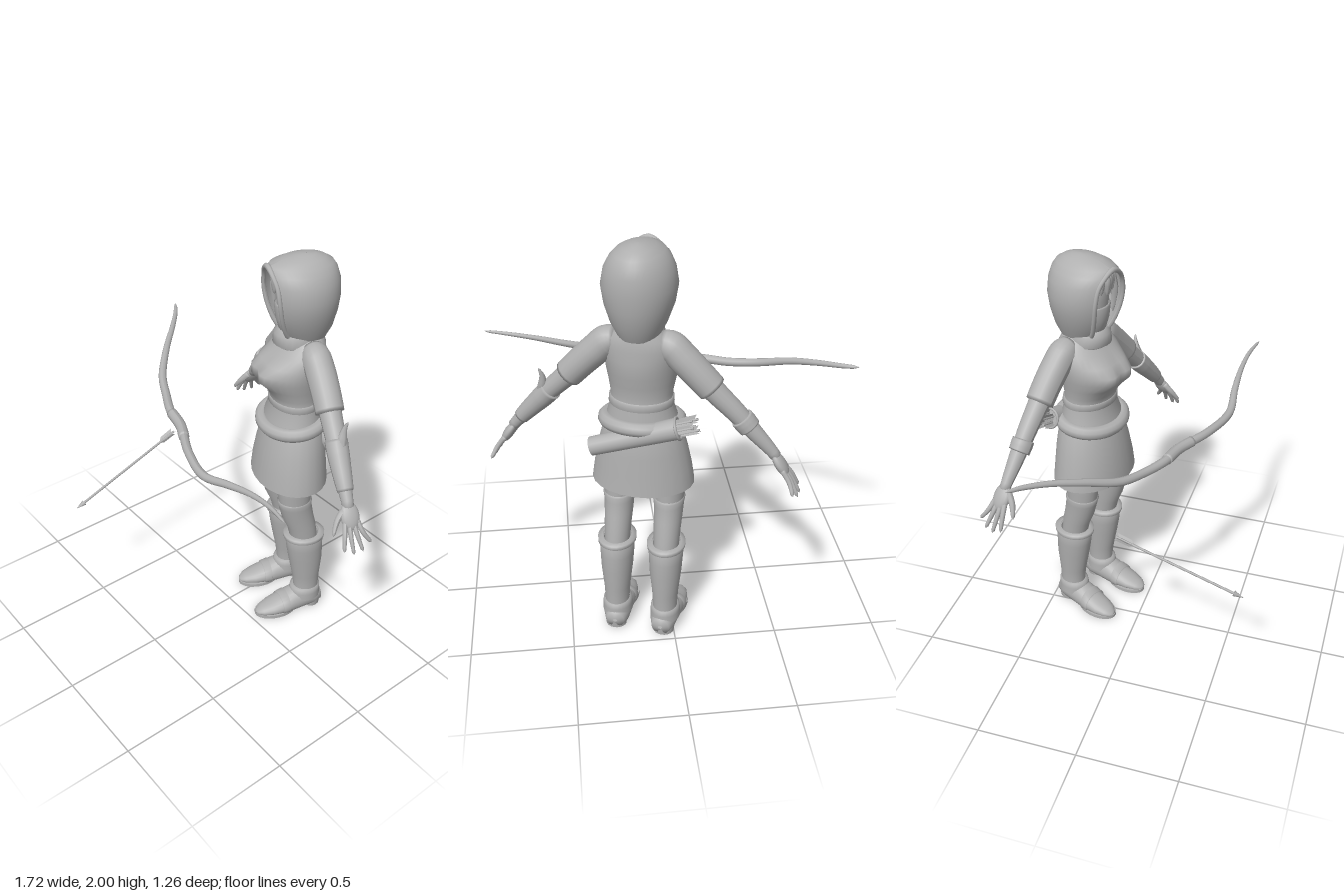
import * as THREE from 'three';

const grey = new THREE.MeshStandardMaterial({ color: 0xb0b0b0, side: THREE.DoubleSide });
grey.name = 'plain grey';
const V = (x, y, z) => new THREE.Vector3(x, y, z);

function add(parent, name, geo, x = 0, y = 0, z = 0) {
  const m = new THREE.Mesh(geo, grey);
  m.name = name;
  m.position.set(x, y, z);
  parent.add(m);
  return m;
}

// Elliptical rings listed bottom to top: [y, centreZ, halfX, halfZ, centreX, openHalfAngle]
function loft(rings, { sides = 24, open = false, bump = null } = {}) {
  const pos = [], idx = [], n = open ? sides + 1 : sides;
  for (const [y, c, a, b, cx = 0, gap = 0] of rings) {
    for (let j = 0; j < n; j++) {
      const t = gap + (j / sides) * (2 * Math.PI - 2 * gap);
      const push = bump ? bump(t, y) : 0;
      pos.push(cx + a * Math.sin(t), y, c + b * Math.cos(t) + push);
    }
  }
  for (let i = 0; i < rings.length - 1; i++) {
    for (let j = 0; j < sides; j++) {
      const k = (j + 1) % n;
      const p = i * n + j, q = i * n + k;
      idx.push(p, q, q + n, p, q + n, p + n);
    }
  }
  const g = new THREE.BufferGeometry();
  g.setAttribute('position', new THREE.Float32BufferAttribute(pos, 3));
  g.setIndex(idx);
  g.computeVertexNormals();
  return g;
}

// Tube through [x, y, z, radius] points, closed at both ends
function limb(pts, sides = 12, n = 24) {
  const curve = new THREE.CatmullRomCurve3(pts.map(p => V(p[0], p[1], p[2])));
  const g = new THREE.TubeGeometry(curve, n, 1, sides);
  const pos = g.attributes.position, v = V();
  for (let i = 0; i <= n; i++) {
    const c = curve.getPointAt(i / n);
    const t = curve.getUtoTmapping(i / n) * (pts.length - 1);
    const k = Math.min(Math.floor(t), pts.length - 2);
    let r = THREE.MathUtils.lerp(pts[k][3], pts[k + 1][3], t - k);
    if (i === 0 || i === n) r *= 0.05;
    for (let j = 0; j <= sides; j++) {
      const id = i * (sides + 1) + j;
      v.fromBufferAttribute(pos, id).sub(c).multiplyScalar(r).add(c);
      pos.setXYZ(id, v.x, v.y, v.z);
    }
  }
  g.computeVertexNormals();
  return g;
}

// Turn an object built along +y so that it runs from p towards q
function aim(obj, p, q) {
  obj.position.copy(p);
  obj.quaternion.setFromUnitVectors(V(0, 1, 0), q.clone().sub(p).normalize());
  return obj;
}

function arrow(len) {
  const g = new THREE.Group();
  g.name = 'arrow';
  add(g, 'arrowShaft', new THREE.CylinderGeometry(0.006, 0.006, len - 0.04, 8), 0, len / 2 - 0.02, 0);
  add(g, 'arrowHead', new THREE.ConeGeometry(0.014, 0.05, 8), 0, len - 0.025, 0);
  const vane = new THREE.Shape([[0, 0.1], [0.02, 0.075], [0.022, 0], [0, 0.02]].map(p => new THREE.Vector2(...p)));
  for (let i = 0; i < 3; i++) {
    add(g, 'fletching', new THREE.ShapeGeometry(vane)).rotation.y = i * 2.094 + 0.5;
  }
  return g;
}

function buildHead(body) {
  add(body, 'head', loft([[1.6, 0.03, 0.05, 0.06], [1.64, 0.03, 0.07, 0.085], [1.7, 0.03, 0.09, 0.1],
    [1.8, 0.03, 0.105, 0.11], [1.88, 0.03, 0.1, 0.105], [1.95, 0.03, 0.05, 0.05]]));
  add(body, 'faceMask', loft([[1.62, 0.03, 0.055, 0.075], [1.65, 0.03, 0.08, 0.098], [1.7, 0.03, 0.097, 0.112],
    [1.765, 0.03, 0.106, 0.12], [1.767, 0.03, 0.1, 0.108]]));
  // Fringe of overlapping locks
  for (let i = -3; i <= 3; i++) {
    const x = i * 0.026, z = 0.155 - Math.abs(i) * 0.012;
    add(body, 'fringeLock', limb([[x * 0.7, 1.95, z - 0.03, 0.014], [x, 1.9, z, 0.02], [x * 1.05, 1.825 - (i % 2) * 0.008, z, 0.006]], 8, 10));
  }
  for (const s of [-1, 1]) {
    add(body, 'sideLock', limb([[s * 0.08, 1.92, 0.12, 0.016], [s * 0.1, 1.82, 0.12, 0.018], [s * 0.095, 1.7, 0.11, 0.006]], 8, 12));
  }
  // Hood with an open front and a rolled rim
  const hood = [[1.59, 0, 0.09, 0.095, 0, 0.55], [1.66, 0.01, 0.125, 0.14, 0, 0.62], [1.74, 0.02, 0.153, 0.167, 0, 0.66],
    [1.82, 0.025, 0.166, 0.18, 0, 0.66], [1.89, 0.028, 0.153, 0.178, 0, 0.6], [1.935, 0.032, 0.13, 0.168, 0, 0.42],
    [1.962, 0.032, 0.105, 0.15, 0, 0], [1.985, 0.02, 0.07, 0.1, 0, 0], [1.998, 0.01, 0.03, 0.045, 0, 0], [2, 0.01, 0.001, 0.001, 0, 0]];
  add(body, 'hood', loft(hood, { sides: 32, open: true }));
  const edge = s => hood.slice(0, 6).map(([y, c, a, b, , t]) => [s * a * Math.sin(t), y, c + b * Math.cos(t), 0.011]);
  add(body, 'hoodRim', limb([...edge(-1), [0, 1.962, 0.19, 0.014], ...edge(1).reverse()], 8, 48));
  add(body, 'collar', loft([[1.56, 0.03, 0.1, 0.1], [1.575, 0.04, 0.108, 0.112], [1.625, 0.04, 0.1, 0.108], [1.645, 0.035, 0.085, 0.09]]));
}

function buildTorso(body) {
  const bust = (t, y) => {
    const a = Math.atan2(Math.sin(t), Math.cos(t));
    return 0.04 * Math.exp(-(((y - 1.43) / 0.06) ** 2)) * Math.exp(-(((Math.abs(a) - 0.42) / 0.4) ** 2));
  };
  add(body, 'tunic', loft([[1.08, 0.045, 0.185, 0.148], [1.18, 0.04, 0.165, 0.135], [1.26, 0.035, 0.14, 0.115],
    [1.31, 0.042, 0.143, 0.12], [1.36, 0.052, 0.152, 0.137], [1.41, 0.06, 0.163, 0.154], [1.45, 0.058, 0.168, 0.156],
    [1.49, 0.046, 0.17, 0.145], [1.54, 0.025, 0.165, 0.12], [1.585, 0.008, 0.14, 0.1], [1.615, 0, 0.095, 0.08],
    [1.66, 0, 0.06, 0.06]], { sides: 36, bump: bust }));
  add(body, 'waistBand', loft([[1.245, 0.035, 0.14, 0.115], [1.25, 0.035, 0.15, 0.125], [1.28, 0.037, 0.149, 0.125], [1.285, 0.037, 0.14, 0.117]]));
  add(body, 'skirt', loft([[0.83, 0.05, 0.243, 0.182], [0.92, 0.05, 0.23, 0.174], [1.02, 0.045, 0.21, 0.163], [1.1, 0.04, 0.188, 0.15], [1.14, 0.04, 0.17, 0.138]]));
  // Padded belt hanging low at the front
  const loop = [];
  for (let i = 0; i < 12; i++) {
    const t = i * Math.PI / 6;
    loop.push(V(0.17 * Math.sin(t), 1.155 - 0.018 * Math.cos(t), 0.042 + 0.145 * Math.cos(t)));
  }
  add(body, 'hipBelt', new THREE.TubeGeometry(new THREE.CatmullRomCurve3(loop, true), 40, 0.034, 10, true));
}

function buildLeg(body, s) {
  const x = s * 0.122;
  add(body, 'thigh', loft([[0.7, 0.06, 0.07, 0.08, x], [0.78, 0.066, 0.074, 0.085, x], [0.86, 0.07, 0.08, 0.09, x], [1, 0.06, 0.085, 0.095, s * 0.1]]));
  add(body, 'stocking', loft([[0.47, 0, 0.06, 0.07, x], [0.56, 0.018, 0.064, 0.075, x], [0.63, 0.042, 0.068, 0.082, x],
    [0.7, 0.058, 0.072, 0.085, x], [0.73, 0.062, 0.077, 0.09, x], [0.738, 0.062, 0.07, 0.08, x]]));
  add(body, 'boot', loft([[0.06, -0.025, 0.062, 0.068, x], [0.15, -0.026, 0.06, 0.068, x], [0.22, -0.022, 0.064, 0.074, x],
    [0.34, -0.014, 0.077, 0.09, x], [0.42, -0.006, 0.082, 0.096, x], [0.5, 0, 0.086, 0.1, x], [0.5, 0, 0.064, 0.075, x]]));
  add(body, 'bootCuff', loft([[0.478, 0, 0.084, 0.098, x], [0.484, 0, 0.092, 0.107, x], [0.506, 0, 0.093, 0.108, x], [0.508, 0, 0.07, 0.08, x]]));
  add(body, 'ankleGuard', loft([[0.07, -0.02, 0.074, 0.085, x], [0.11, -0.02, 0.073, 0.083, x], [0.138, -0.022, 0.07, 0.08, x], [0.142, -0.022, 0.055, 0.06, x]]));
  // Shoe sections run forward, then the underside is flattened
  const shoe = (name, rings, floor) => {
    const g = loft(rings);
    g.rotateX(Math.PI / 2);
    const p = g.attributes.position;
    for (let i = 0; i < p.count; i++) p.setY(i, Math.max(p.getY(i), floor));
    g.computeVertexNormals();
    const m = add(body, name, g, x, 0, 0);
    m.rotation.y = s * 0.06;
  };
  shoe('shoe', [[-0.11, -0.05, 0.01, 0.01], [-0.105, -0.05, 0.045, 0.045], [-0.06, -0.06, 0.064, 0.07], [0, -0.06, 0.067, 0.075],
    [0.06, -0.05, 0.068, 0.07], [0.12, -0.04, 0.07, 0.05], [0.18, -0.032, 0.062, 0.037], [0.23, -0.026, 0.044, 0.024],
    [0.255, -0.02, 0.022, 0.012], [0.262, -0.02, 0.002, 0.002]], 0.016);
  shoe('shoeStrap', [[0.085, -0.045, 0.066, 0.05], [0.088, -0.045, 0.074, 0.066], [0.125, -0.04, 0.074, 0.054], [0.128, -0.04, 0.066, 0.04]], 0.014);
  const sole = add(body, 'sole', new THREE.CylinderGeometry(1, 1, 0.018, 24), x + s * 0.008, 0.009, 0.148);
  sole.scale.set(0.07, 1, 0.115);
  const heel = add(body, 'heel', new THREE.CylinderGeometry(1, 0.92, 0.04, 20), x, 0.02, -0.058);
  heel.scale.set(0.056, 1, 0.052);
}

function buildArm(body, s) {
  const at = ([x, y, z, r]) => [s * x, y, z, r];
  add(body, 'arm', limb([[0.12, 1.55, 0, 0.06], [0.23, 1.46, -0.005, 0.057], [0.36, 1.33, 0, 0.05], [0.43, 1.26, 0.005, 0.046],
    [0.52, 1.16, 0.012, 0.038], [0.605, 1.065, 0.018, 0.027], [0.63, 1.03, 0.018, 0.026]].map(at), 16, 32));
  add(body, 'sleeve', limb([[0.09, 1.56, 0, 0.055], [0.14, 1.55, 0, 0.069], [0.2, 1.495, -0.003, 0.07], [0.27, 1.425, -0.003, 0.068], [0.335, 1.355, 0, 0.066]].map(at), 18, 24));
  if (s > 0) {
    // Bracer with a pointed fin at the elbow
    add(body, 'bracer', limb([[0.41, 1.28, 0.003, 0.053], [0.46, 1.225, 0.008, 0.051], [0.54, 1.14, 0.014, 0.042], [0.58, 1.095, 0.016, 0.036]], 16, 24));
    add(body, 'bracerFin', limb([[0.47, 1.25, 0.0, 0.02], [0.45, 1.3, -0.01, 0.022], [0.447, 1.35, -0.02, 0.012], [0.458, 1.39, -0.03, 0.003]], 8, 12));
  } else {
    add(body, 'armCuff', limb([[0.455, 1.235, 0.007, 0.052], [0.475, 1.21, 0.009, 0.053], [0.5, 1.18, 0.01, 0.05]].map(at), 16, 12));
  }
  const hand = new THREE.Group();
  hand.name = 'hand';
  hand.position.set(s * 0.603, 1.068, 0.018);
  hand.rotation.z = s * 0.588;
  body.add(hand);
  add(hand, 'palm', new THREE.SphereGeometry(1, 16, 12), 0, -0.068, 0).scale.set(0.024, 0.066, 0.046);
  [-0.036, -0.013, 0.01, 0.032].forEach((z, i) => {
    const tip = -[0.205, 0.238, 0.245, 0.225][i];
    add(hand, 'finger', limb([[0, -0.08, z * 0.8, 0.013], [s * 0.004, -0.15, z * 1.3, 0.012], [-s * 0.004, tip, z * 2 - 0.01, 0.008]], 8, 12));
  });
  add(hand, 'thumb', limb([[0, -0.03, 0.02, 0.017], [-s * 0.01, -0.08, 0.06, 0.015], [-s * 0.015, -0.145, 0.09, 0.008]], 8, 12));
}

export function createModel() {
  const model = new THREE.Group();
  model.name = 'hoodedArcher';

  // Figure turned slightly to its right
  const body = new THREE.Group();
  body.name = 'figure';
  body.position.set(0.145, 0, -0.325);
  body.rotation.y = -0.34;
  model.add(body);
  buildHead(body);
  buildTorso(body);
  for (const s of [-1, 1]) {
    buildLeg(body, s);
    buildArm(body, s);
  }

  // Quiver slung across the lower back
  const low = V(0.37, 1.06, -0.355), high = V(-0.01, 1.185, -0.455);
  const quiver = aim(new THREE.Group(), low, high);
  quiver.name = 'quiver';
  model.add(quiver);
  const length = low.distanceTo(high);
  add(quiver, 'quiverCase', new THREE.CylinderGeometry(0.05, 0.044, length, 20), 0, length / 2, 0);
  add(quiver, 'quiverRim', new THREE.TorusGeometry(0.049, 0.007, 8, 20), 0, length, 0).rotation.x = Math.PI / 2;
  for (let i = 0; i < 5; i++) {
    const a = i * 1.257, x = 0.026 * Math.cos(a), z = 0.026 * Math.sin(a);
    const spare = arrow(0.3);
    spare.position.set(x, length + 0.075 + 0.02 * (i % 2), z);
    spare.rotation.x = Math.PI;
    quiver.add(spare);
  }

  // Bow floating in front
  add(model, 'bow', limb([[-0.86, 1.36, -0.305, 0.007], [-0.8, 1.35, -0.265, 0.011], [-0.7, 1.325, -0.17, 0.014], [-0.6, 1.285, -0.06, 0.017],
    [-0.47, 1.225, 0.06, 0.02], [-0.34, 1.2, 0.13, 0.021], [-0.21, 1.195, 0.195, 0.022], [-0.09, 1.19, 0.225, 0.022], [0.1, 1.185, 0.32, 0.021],
    [0.29, 1.19, 0.378, 0.02], [0.45, 1.23, 0.367, 0.017], [0.6, 1.27, 0.365, 0.013], [0.74, 1.295, 0.378, 0.01], [0.86, 1.305, 0.405, 0.006]], 12, 64));
  add(model, 'bowGrip', limb([[-0.21, 1.195, 0.195, 0.026], [-0.09, 1.19, 0.225, 0.026], [0, 1.187, 0.27, 0.026]], 12, 20));

  // Loose arrow in flight
  const tail = V(-0.44, 0.885, 0.025), tip = V(-0.44, 0.672, 0.64);
  model.add(aim(arrow(tail.distanceTo(tip)), tail, tip));
  return model;
}
